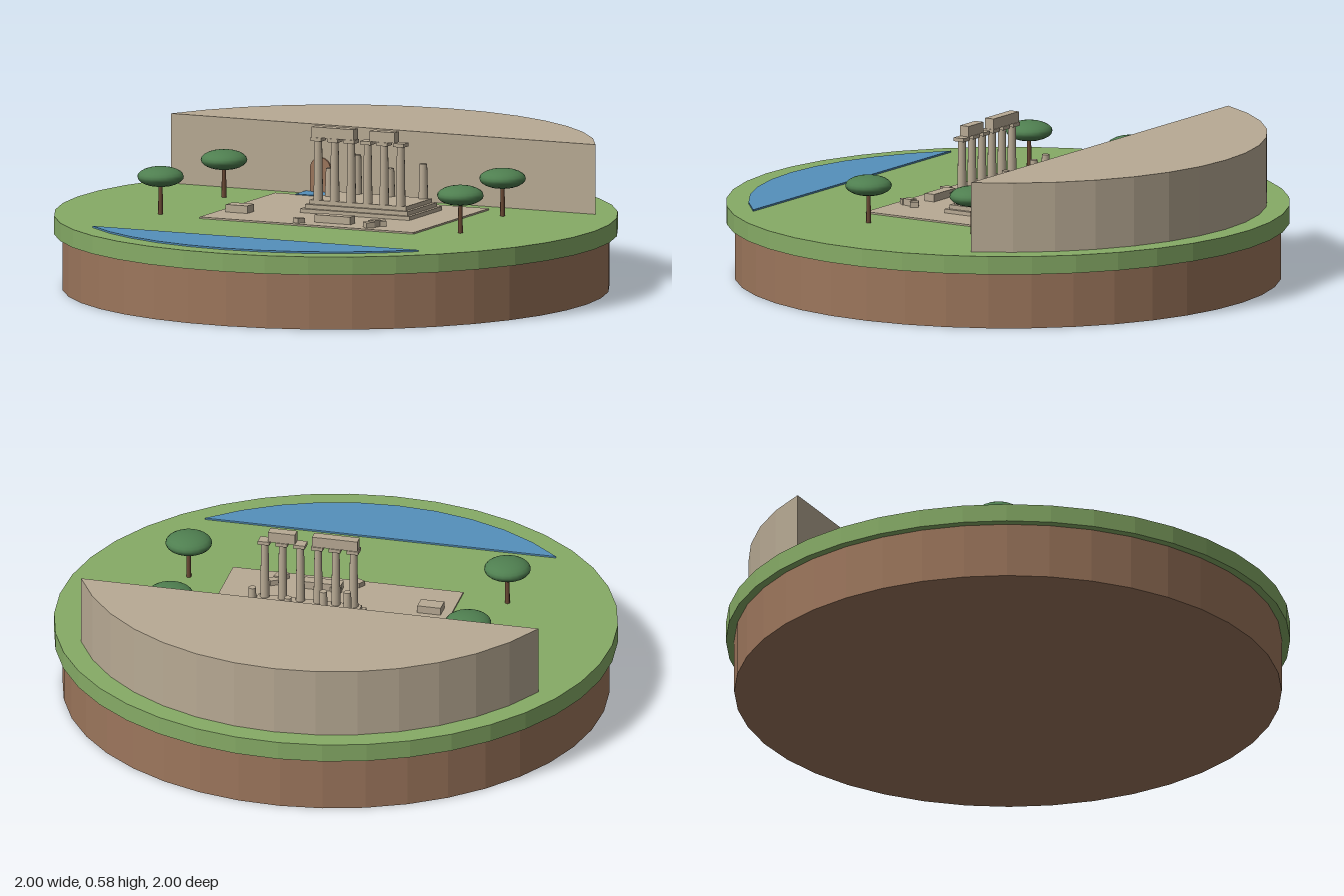
import * as THREE from 'three';

const mat = (name, color, flatShading = false) => {
  const m = new THREE.MeshStandardMaterial({ color, flatShading });
  m.name = name;
  return m;
};

export function createModel() {
  const grass = mat('grass', 0x86ab66, true);
  const earth = mat('earth', 0x9c765c, true);
  const stone = mat('stone', 0xb8aa94);
  const water = mat('water', 0x5590bb);
  const leaf = mat('foliage', 0x4f7f50);
  const bark = mat('bark', 0x6b4a35);

  const model = new THREE.Group();
  model.name = 'ruinedTempleIsland';
  // everything laid out on the site shares one 20 degree turn
  const site = new THREE.Group();
  site.name = 'site';
  site.rotation.y = -20 * Math.PI / 180;
  model.add(site);

  const add = (parent, name, geometry, material, x = 0, y = 0, z = 0, turn = 0) => {
    const mesh = new THREE.Mesh(geometry, material);
    mesh.name = name;
    mesh.position.set(x, y, z);
    mesh.rotation.y = turn;
    parent.add(mesh);
    return mesh;
  };
  // box standing on height y
  const block = (parent, name, material, w, h, d, x, y, z, turn = 0) =>
    add(parent, name, new THREE.BoxGeometry(w, h, d), material, x, y + h / 2, z, turn);

  // round island
  const ground = 0.265;
  add(model, 'earthBase', new THREE.CylinderGeometry(0.97, 0.97, 0.2, 40), earth, 0, 0.1, 0);
  add(model, 'grassTop', new THREE.CylinderGeometry(1, 1, 0.065, 40), grass, 0, 0.2325, 0);

  // circle segment cut off by a chord at distance d, facing -z
  const circleSegment = (r, d, h, steps) => {
    const a = Math.asin(d / r);
    const points = [];
    for (let i = 0; i <= steps; i++) {
      const t = a + (Math.PI - 2 * a) * i / steps;
      points.push(new THREE.Vector2(r * Math.cos(t), r * Math.sin(t)));
    }
    return new THREE.ExtrudeGeometry(new THREE.Shape(points), { depth: h, bevelEnabled: false })
      .rotateX(-Math.PI / 2);
  };
  add(site, 'cliff', circleSegment(0.92, 0.387, 0.25, 14), stone, 0, ground, 0);
  add(site, 'lake', circleSegment(0.92, 0.66, 0.006, 10), water, 0, ground, 0, Math.PI);

  // paved court, spring pool and cave mouth
  block(site, 'court', stone, 0.84, 0.006, 0.62, 0.031, ground, -0.003);
  block(site, 'springPool', water, 0.115, 0.009, 0.085, -0.247, ground, -0.343);
  const arch = new THREE.Shape();
  arch.moveTo(-0.04, 0);
  arch.lineTo(0.04, 0);
  arch.lineTo(0.04, 0.092);
  arch.absarc(0, 0.092, 0.04, 0, Math.PI, false);
  add(site, 'caveMouth', new THREE.ExtrudeGeometry(arch, { depth: 0.008, bevelEnabled: false }),
    earth, -0.245, ground, -0.388);

  // temple
  const temple = new THREE.Group();
  temple.name = 'temple';
  temple.position.set(0.103, 0.27, -0.071);
  site.add(temple);
  for (let i = 0; i < 3; i++) {
    block(temple, 'step', stone, 0.43 - i * 0.026, 0.015, 0.266 - i * 0.026, 0, i * 0.015, 0);
  }
  const column = (name, x, z, h, topRadius) =>
    add(temple, name, new THREE.CylinderGeometry(topRadius, 0.017, h, 12), stone, x, 0.045 + h / 2, z);
  const spacing = 0.0648;
  const columnX = i => (i - 2.5) * spacing;
  for (let i = 0; i < 6; i++) {
    column('column', columnX(i), 0.093, 0.215, 0.0135);
    block(temple, 'capital', stone, 0.042, 0.013, 0.042, columnX(i), 0.257, 0.093);
  }
  block(temple, 'longBeam', stone, 0.165, 0.038, 0.036, columnX(1), 0.27, 0.093);
  block(temple, 'shortBeam', stone, 0.098, 0.038, 0.036, columnX(4), 0.27, 0.093);
  // broken columns
  [[0, 0, 0.1], [1, -0.092, 0.14], [3, -0.092, 0.1], [5, -0.092, 0.125]].forEach(
    ([i, z, h]) => column('brokenColumn', columnX(i), z, h, 0.0135));

  // fallen blocks: width, height, depth, world x, world z, world turn
  [
    [0.085, 0.028, 0.055, -0.34, 0.022, -0.35],
    [0.14, 0.028, 0.04, 0.02, 0.242, -0.35],
    [0.03, 0.018, 0.03, -0.022, 0.205, 0.5],
    [0.03, 0.018, 0.034, -0.107, 0.25, 0.7],
    [0.03, 0.02, 0.032, 0.15, 0.338, 0.5],
    [0.028, 0.025, 0.036, 0.168, 0.318, -0.5],
    [0.034, 0.02, 0.03, 0.19, 0.296, 0.2],
  ].forEach(([w, h, d, x, z, turn]) => block(model, 'fallenBlock', stone, w, h, d, x, 0.27, z, turn));

  // trees with flattened crowns
  [[-0.433, -0.345], [-0.618, 0.067], [0.592, -0.01], [0.482, 0.395]].forEach(([x, z]) => {
    const tree = new THREE.Group();
    tree.name = 'tree';
    tree.position.set(x, ground, z);
    model.add(tree);
    add(tree, 'trunk', new THREE.CylinderGeometry(0.007, 0.009, 0.12, 8), bark, 0, 0.06, 0);
    add(tree, 'crown', new THREE.SphereGeometry(0.083, 20, 12).scale(1, 0.43, 1), leaf, 0, 0.135, 0);
  });

  return model;
}
